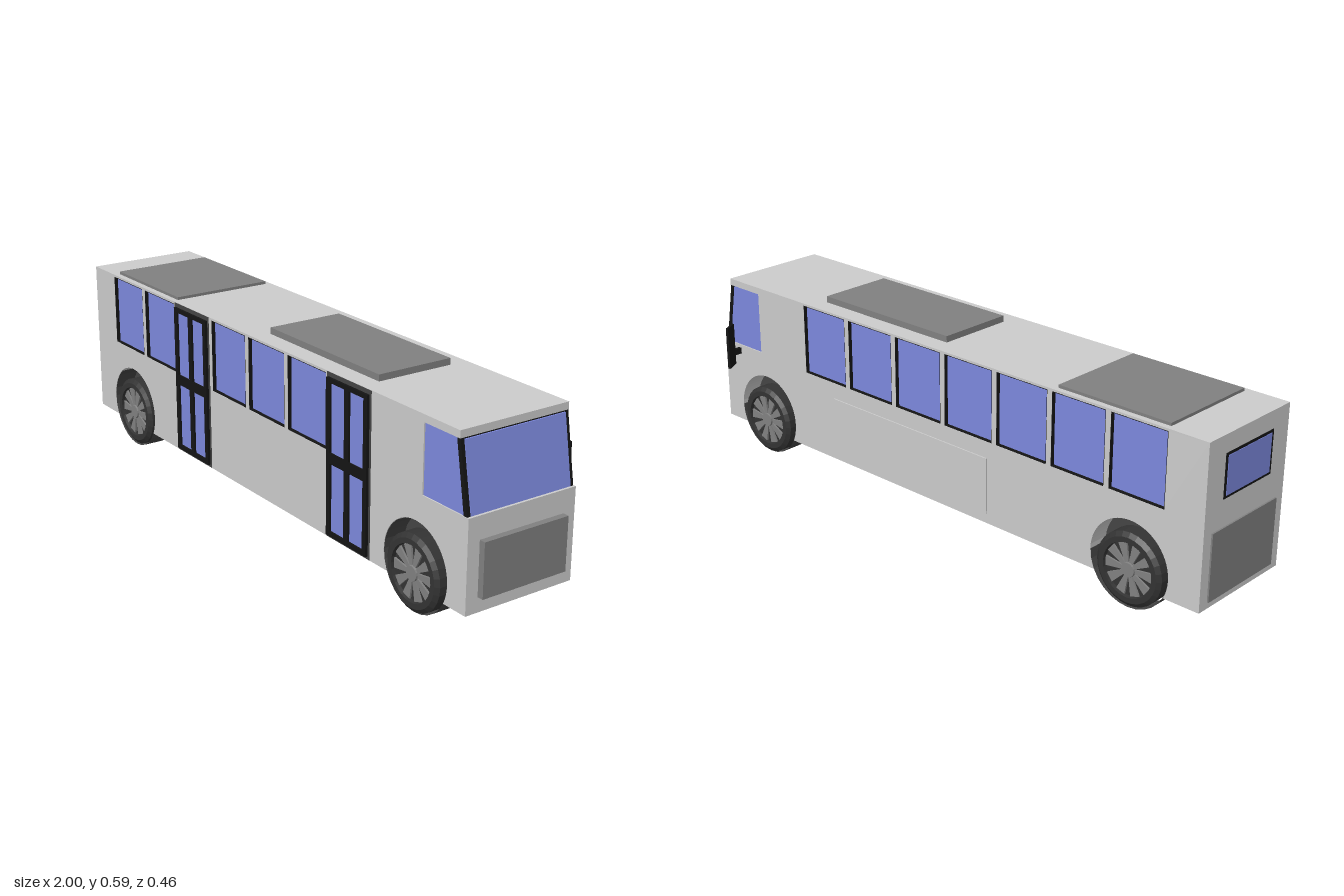
import * as THREE from 'three';

const mat = (color, side = THREE.FrontSide) =>
  new THREE.MeshStandardMaterial({ color, side, flatShading: true });
const GREY = mat(0xcccccc), PANEL = mat(0x808080), DARK = mat(0x444444, THREE.DoubleSide);
const BLACK = mat(0x141414), GLASS = mat(0x7c88dc), TYRE = mat(0x333333, THREE.DoubleSide);

const ZL = 0.215, ZR = -0.155;              // the two body sides
const AXLES = [-0.755, 0.77];
const ARCH_Y = 0.13, ARCH_R = 0.135, FLOOR = 0.07, SLAB = 0.07;
const WIN_Y = [0.335, 0.563];
const slotX = i => -0.865 + 0.2075 * i;     // seven equal bays along each side
const WIN_W = 0.19;
const CAB = [[0.795, 0.345], [0.97, 0.345], [0.935, 0.548], [0.795, 0.548]];

function add(parent, name, geometry, material) {
  const mesh = new THREE.Mesh(geometry, material);
  mesh.name = name;
  parent.add(mesh);
  return mesh;
}

// box given by its limits on each axis
function box(parent, name, material, [x0, x1], [y0, y1], [z0, z1]) {
  const m = add(parent, name, new THREE.BoxGeometry(x1 - x0, y1 - y0, Math.abs(z1 - z0)), material);
  m.position.set((x0 + x1) / 2, (y0 + y1) / 2, (z0 + z1) / 2);
  return m;
}

const poly = pts => new THREE.Shape(pts.map(p => new THREE.Vector2(...p)));
const rect = (x0, x1, y0, y1) => poly([[x0, y0], [x1, y0], [x1, y1], [x0, y1]]);

function extrude(parent, name, shape, material, z0, z1) {
  const g = new THREE.ExtrudeGeometry(shape, { depth: z1 - z0, bevelEnabled: false, curveSegments: 18 });
  g.translate(0, 0, z0);
  return add(parent, name, g, material);
}

const archAngle = Math.asin((FLOOR - ARCH_Y) / ARCH_R);

// side outline, with or without wheel arches
function bodyShape(arches) {
  const s = new THREE.Shape();
  s.moveTo(-0.995, FLOOR);
  if (arches) for (const x of AXLES) {
    s.lineTo(x - ARCH_R * Math.cos(archAngle), FLOOR);
    s.absarc(x, ARCH_Y, ARCH_R, Math.PI - archAngle, archAngle, true);
  }
  for (const p of [[0.98, FLOOR], [0.98, 0.345], [0.795, 0.345], [0.795, 0.548],
    [0.937, 0.548], [0.937, 0.57], [-0.995, 0.57]]) s.lineTo(...p);
  return s;
}

function makeWheel(width) {
  const wheel = new THREE.Group();
  const h = width / 2;
  const profile = [[0.083, -h], [0.1, -h], [0.113, -h + 0.01], [0.113, h - 0.01],
    [0.1, h], [0.084, h], [0.082, h - 0.012]].map(p => new THREE.Vector2(...p));
  add(wheel, 'tyre', new THREE.LatheGeometry(profile, 28).rotateX(Math.PI / 2), TYRE);
  const disc = add(wheel, 'rimDisc', new THREE.CylinderGeometry(0.084, 0.084, width - 0.026, 28), TYRE);
  disc.rotation.x = Math.PI / 2;
  const spoke = poly([[0.015, -0.005], [0.08, -0.015], [0.08, 0.015], [0.015, 0.005]]);
  for (let i = 0; i < 10; i++)
    extrude(wheel, 'spoke', spoke, PANEL, h - 0.016, h - 0.007).rotation.z = i * Math.PI / 5;
  const hub = add(wheel, 'hub', new THREE.CylinderGeometry(0.022, 0.025, 0.016, 16), PANEL);
  hub.rotation.x = Math.PI / 2;
  hub.position.z = h - 0.01;
  return wheel;
}

function makeDoor(parent, x0) {
  const door = new THREE.Group();
  door.name = 'door';
  parent.add(door);
  box(door, 'doorSurround', DARK, [x0 - 0.007, x0 + 0.197], [0.071, 0.569], [ZL - 0.01, ZL + 0.0015]);
  // black frame with two panes in each leaf
  const frame = rect(x0 + 0.002, x0 + 0.19, 0.08, 0.556);
  for (const dx of [0.02, 0.107]) for (const [a, b] of [[0.095, 0.303], [0.335, 0.543]])
    frame.holes.push(rect(x0 + dx, x0 + dx + 0.066, a, b));
  extrude(door, 'doorFrame', frame, BLACK, ZL, ZL + 0.01);
  box(door, 'doorGlass', GLASS, [x0 + 0.012, x0 + 0.18], [0.09, 0.55], [ZL, ZL + 0.004]);
}

// one side wall with its windows; dir is +1 for the left, -1 for the right
function makeSide(parent, dir) {
  const side = new THREE.Group();
  side.name = dir > 0 ? 'leftSide' : 'rightSide';
  parent.add(side);
  const face = dir > 0 ? ZL : ZR;
  const span = (a, b) => [face - dir * a, face - dir * b].sort((p, q) => p - q);
  const wall = bodyShape(true);
  for (let i = 0; i < 7; i++) {
    const x = slotX(i), x1 = x + WIN_W;
    if (dir > 0 && (i === 2 || i === 6)) {
      makeDoor(side, x - 0.005);
      continue;
    }
    wall.holes.push(rect(x, x1, ...WIN_Y));
    const frame = rect(x, x1, ...WIN_Y);
    frame.holes.push(rect(x + 0.002, x1 - 0.002, WIN_Y[0] + 0.002, WIN_Y[1] - 0.002));
    extrude(side, 'windowFrame', frame, BLACK, ...span(0.02, 0.0005));
    box(side, 'windowGlass', GLASS, [x, x1], WIN_Y, span(0.02, 0.012));
  }
  extrude(side, 'sideWall', wall, GREY, ...span(SLAB, 0));
  extrude(side, 'cabSideGlass', poly(CAB), GLASS, ...span(0.012, 0.004));

  AXLES.forEach((x, i) => {
    // dark lining of the wheel arch
    const liner = new THREE.Shape();
    liner.absarc(x, ARCH_Y, ARCH_R, archAngle, Math.PI - archAngle, false);
    const back = add(side, 'archBack', new THREE.ShapeGeometry(liner, 18), DARK);
    back.position.z = face - dir * (SLAB - 0.002);
    const g = new THREE.CylinderGeometry(ARCH_R - 0.001, ARCH_R - 0.001, SLAB - 0.001, 18, 1, true,
      Math.PI / 2 - archAngle - Math.PI + 2 * archAngle + Math.PI / 2 + Math.PI / 2 - archAngle,
      Math.PI - 2 * archAngle);
    const arch = add(side, 'archLining', g.rotateX(-Math.PI / 2), DARK);
    arch.position.set(x, ARCH_Y, face - dir * SLAB / 2);
    // wheel, the front pair standing a little further out
    const wheel = makeWheel(0.065);
    wheel.name = i ? 'frontWheel' : 'rearWheel';
    wheel.position.set(x, 0.113, face + dir * ((i ? 0.014 : 0.006) - 0.0325));
    if (dir < 0) wheel.rotation.y = Math.PI;
    side.add(wheel);
  });
}

export function createModel() {
  const bus = new THREE.Group();
  bus.name = 'bus';

  // body
  extrude(bus, 'bodyCore', bodyShape(false), GREY, ZR + SLAB, ZL - SLAB);
  makeSide(bus, 1);
  makeSide(bus, -1);
  box(bus, 'sidePanel', GREY, [-0.225, 0.437], [0.1, 0.282], [ZR - 0.004, ZR + 0.01]);

  // cab: black pillars with the sloping windscreen set on them
  extrude(bus, 'cabPillars', poly(CAB), BLACK, ZR + 0.008, ZL - 0.008);
  const pillar = poly([[0.958, 0.345], [0.972, 0.345], [0.937, 0.548], [0.923, 0.548]]);
  extrude(bus, 'leftPillar', pillar, BLACK, ZL - 0.013, ZL - 0.002);
  extrude(bus, 'rightPillar', pillar, BLACK, ZR + 0.002, ZR + 0.013);
  const screen = poly([[0.95, 0.346], [0.974, 0.346], [0.94, 0.544], [0.92, 0.544]]);
  extrude(bus, 'windscreen', screen, GLASS, ZR + 0.013, ZL - 0.013);

  // front and rear panels
  box(bus, 'frontGrille', PANEL, [0.97, 1], [0.115, 0.277], [-0.115, 0.175]);
  box(bus, 'rearGrille', PANEL, [-1, -0.98], [0.09, 0.297], [-0.12, 0.18]);
  box(bus, 'rearWindowFrame', BLACK, [-0.997, -0.98], [0.382, 0.515], [-0.077, 0.142]);
  box(bus, 'rearWindow', GLASS, [-0.9985, -0.98], [0.39, 0.507], [-0.068, 0.133]);

  // roof units
  box(bus, 'rearRoofUnit', PANEL, [-0.86, -0.475], [0.56, 0.579], [-0.137, 0.196]);
  box(bus, 'frontRoofUnit', PANEL, [-0.005, 0.525], [0.56, 0.59], [-0.095, 0.155]);

  // mirror on the right side
  box(bus, 'mirrorArm', BLACK, [0.9, 0.912], [0.314, 0.334], [-0.185, -0.15]);
  const mirror = add(bus, 'mirror', new THREE.BoxGeometry(0.008, 0.142, 0.05), BLACK);
  mirror.position.set(0.892, 0.355, -0.204);
  mirror.rotation.y = 0.5;
  return bus;
}
